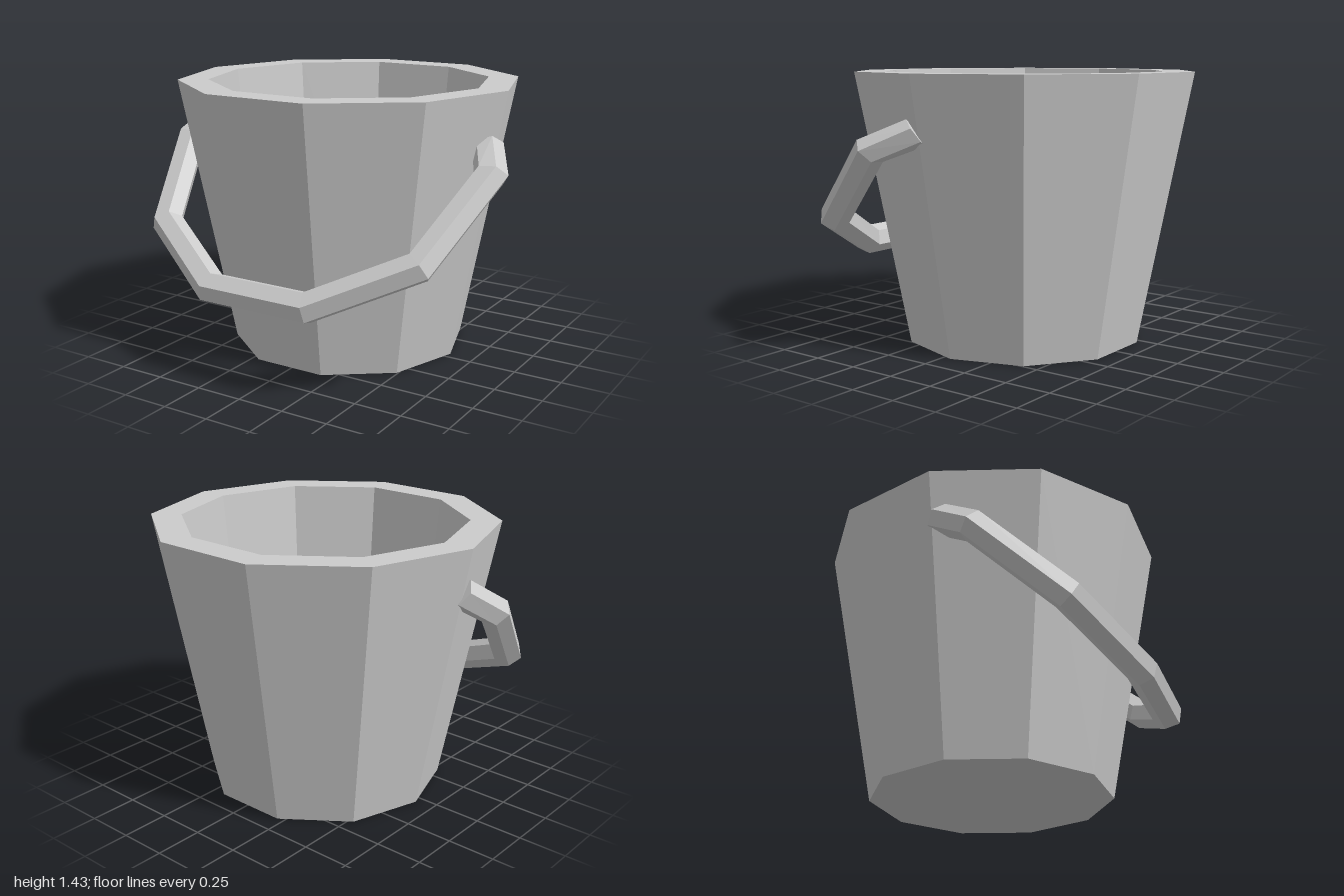
import * as THREE from 'three';

const SIDES = 10;

// Hexagonal bar swept along a polyline with mitred corners and closed ends
function bar(points, normal, radius, sides = 6) {
  const pos = [], index = [], last = points.length - 1;
  const dir = (i) => points[i + 1].clone().sub(points[i]).normalize();
  points.forEach((p, i) => {
    const before = dir(Math.max(i - 1, 0));
    const after = dir(Math.min(i, last - 1));
    const t = before.clone().add(after).normalize();
    const out = t.clone().cross(normal).normalize().multiplyScalar(radius / t.dot(before));
    for (let j = 0; j < sides; j++) {
      const a = (j / sides) * Math.PI * 2;
      const v = p.clone().addScaledVector(out, Math.cos(a)).addScaledVector(normal, radius * Math.sin(a));
      pos.push(v.x, v.y, v.z);
    }
  });
  for (let i = 0; i < last; i++) {
    for (let j = 0; j < sides; j++) {
      const a = i * sides + j, b = i * sides + (j + 1) % sides;
      index.push(a, a + sides, b, b, a + sides, b + sides);
    }
  }
  const end = last * sides;
  for (let j = 1; j < sides - 1; j++) {
    index.push(0, j, j + 1, end, end + j + 1, end + j);
  }
  const indexed = new THREE.BufferGeometry();
  indexed.setAttribute('position', new THREE.Float32BufferAttribute(pos, 3));
  indexed.setIndex(index);
  const geometry = indexed.toNonIndexed();
  geometry.computeVertexNormals();
  return geometry;
}

export function createModel() {
  const group = new THREE.Group();
  group.name = 'bucket';
  const material = new THREE.MeshStandardMaterial({ color: 0xcccccc, flatShading: true });

  // Tapered shell: underside, outer wall, thick rim, inner wall, floor
  const profile = [
    [0, 0], [0.63, 0], [0.905, 1.43], [0.745, 1.43], [0.607, 0.13], [0, 0.13],
  ].map(([r, y]) => new THREE.Vector2(r, y));
  const shell = new THREE.Mesh(new THREE.LatheGeometry(profile, SIDES, Math.PI / 2), material);
  shell.name = 'bucketShell';
  shell.position.set(-0.017, 0, -0.045);
  group.add(shell);

  // Carrying handle, hanging down over the front
  const half = [[0.285, 0.47, 0.835], [0.755, 0.685, 0.605], [0.915, 1.06, 0.19]];
  const path = [
    [-0.835, 1.19, -0.01],
    ...half.map(([x, y, z]) => [-x, y, z]).reverse(),
    ...half,
    [0.805, 1.15, -0.01],
  ].map((p) => new THREE.Vector3(...p));
  const planeNormal = new THREE.Vector3(0, 0.74, 0.67).normalize();
  const handle = new THREE.Mesh(bar(path, planeNormal, 0.08), material);
  handle.name = 'handle';
  group.add(handle);

  return group;
}
